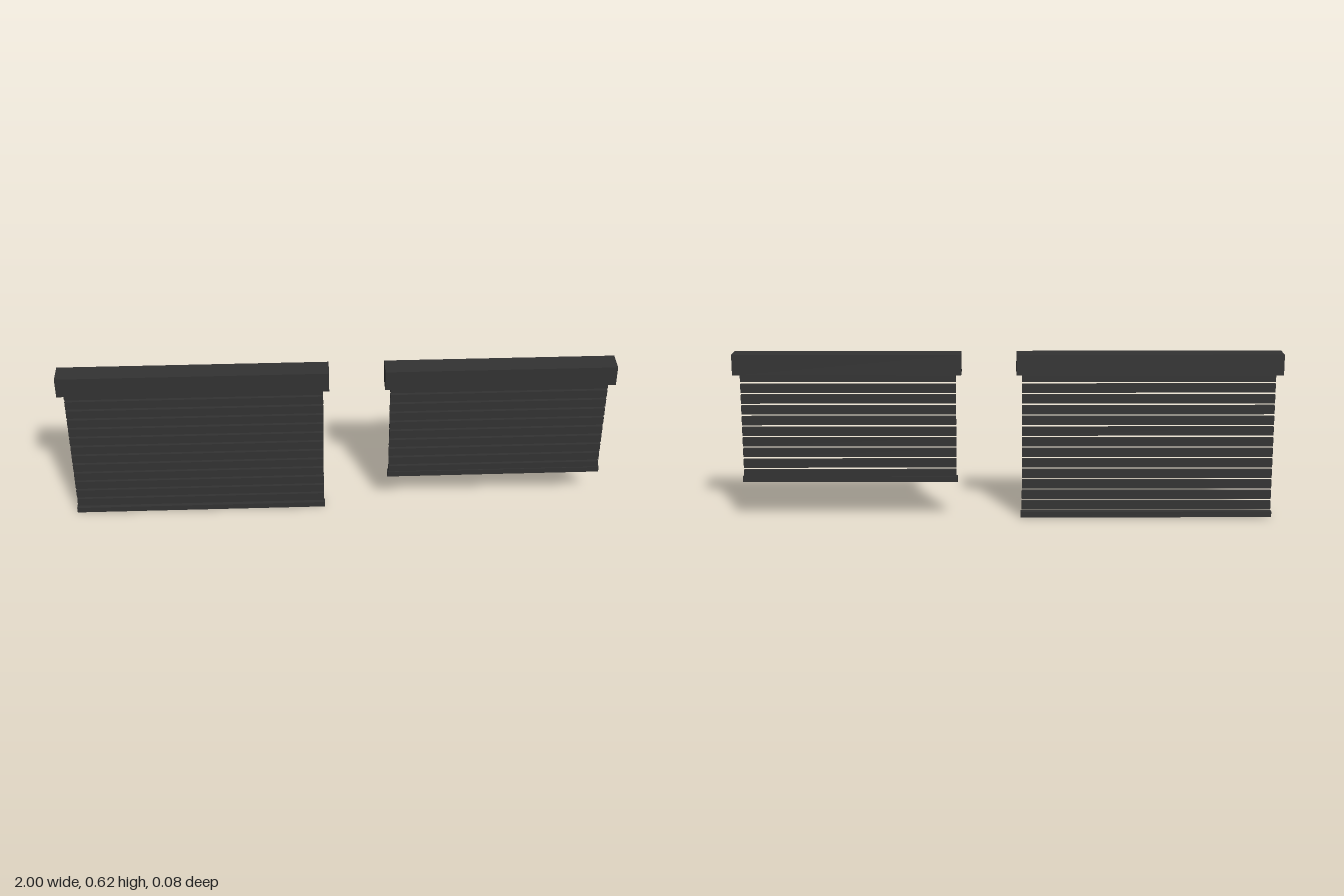
import * as THREE from 'three';

const charcoal = new THREE.MeshStandardMaterial({ color: 0x333333 });
charcoal.name = 'charcoal';

const TOP = 0.625, CASE = 0.076;             // height of the top edge, size of the square case
const SLAT_H = 0.0325, PITCH = 0.0406, FIRST = 0.533;
const CURTAIN_Z = 0.006;                     // the curtain hangs slightly in front of centre

function addBox(group, name, w, h, d, x, y, z) {
  const mesh = new THREE.Mesh(new THREE.BoxGeometry(w, h, d), charcoal);
  mesh.name = name;
  mesh.position.set(x, y, z);
  group.add(mesh);
}

// One roller shutter between x0 and x1, with its bottom bar resting at barY
function makeShutter(name, x0, x1, slats, barY) {
  const shutter = new THREE.Group();
  shutter.name = name;
  const w = x1 - x0, x = (x0 + x1) / 2;

  // Square roller case
  addBox(shutter, 'rollerCase', w, CASE, CASE, x, TOP - CASE / 2, 0);

  // Slats with open gaps between them
  for (let i = 0; i < slats; i++) {
    addBox(shutter, 'slat', w - 0.042, SLAT_H, 0.0143, x, FIRST - i * PITCH, CURTAIN_Z);
  }

  // Thicker bottom bar
  addBox(shutter, 'bottomBar', w - 0.034, 0.0215, 0.0215, x, barY + 0.01075, CURTAIN_Z);
  return shutter;
}

export function createModel() {
  const model = new THREE.Group();
  model.name = 'rollerShutters';
  model.add(makeShutter('wideShutter', -1, -0.03, 13, 0));
  model.add(makeShutter('narrowShutter', 0.17, 1, 10, 0.1375));
  return model;
}
